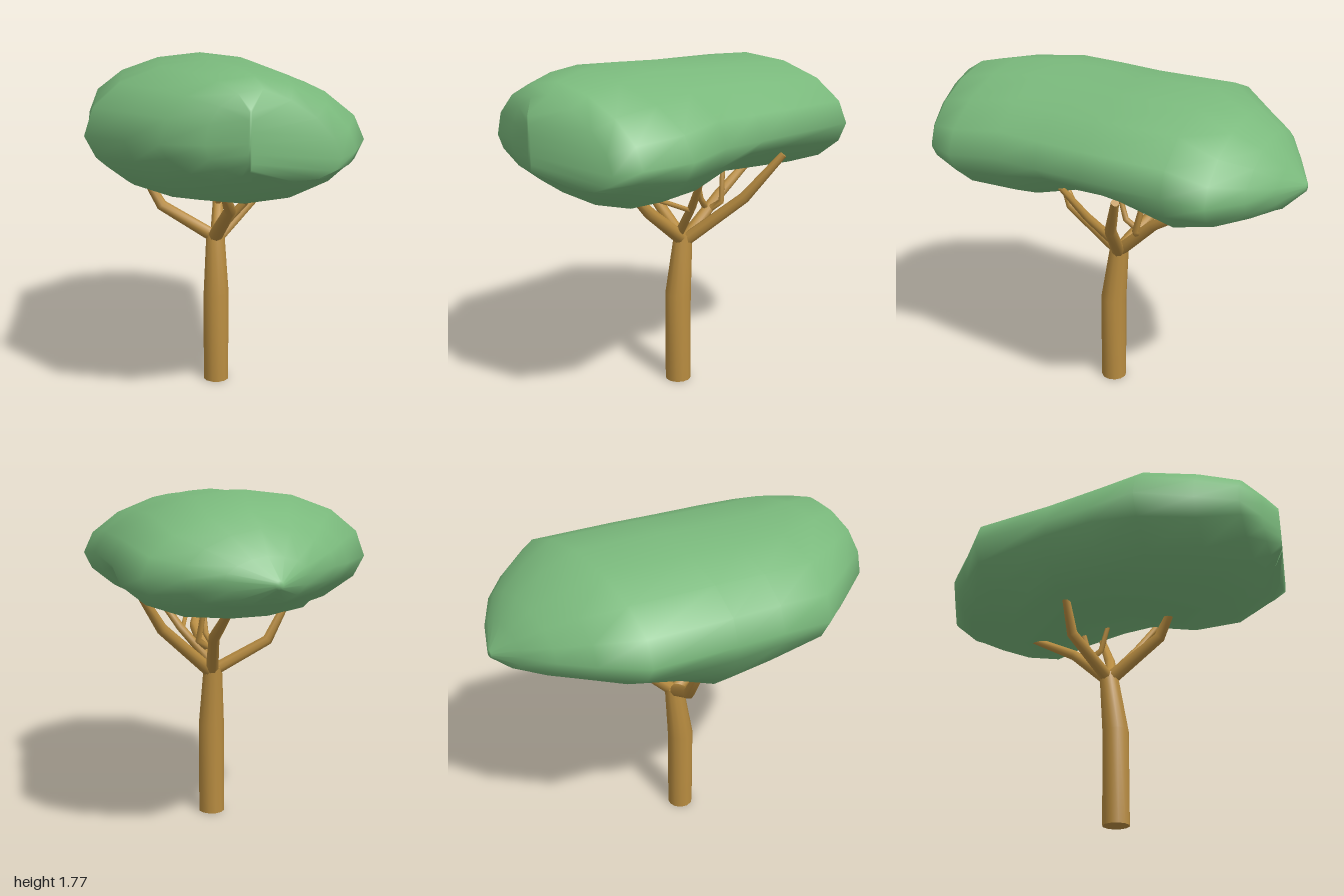
import * as THREE from 'three';

const leaf = new THREE.MeshStandardMaterial({ name: 'leaf green', color: 0x7ab97c });
const bark = new THREE.MeshStandardMaterial({ name: 'bark brown', color: 0xb88c40 });

// Skin a series of equal-sized rings (each counter-clockwise about the travel direction) and close both ends
function loft(rings, sharpCaps) {
  const n = rings[0].length, last = rings.length - 1;
  const points = rings.flat().map(p => p.clone());
  const index = [];
  for (let i = 0; i < last; i++) {
    for (let j = 0; j < n; j++) {
      const a = i * n + j, b = i * n + (j + 1) % n;
      index.push(a, b, a + n, b, b + n, a + n);
    }
  }
  for (const end of [0, last]) {
    let start = end * n;
    if (sharpCaps) {
      start = points.length;
      points.push(...rings[end].map(p => p.clone()));
    }
    const centre = points.length;
    points.push(rings[end].reduce((s, p) => s.add(p), new THREE.Vector3()).divideScalar(n));
    for (let j = 0; j < n; j++) {
      const a = start + j, b = start + (j + 1) % n;
      index.push(centre, ...(end === 0 ? [b, a] : [a, b]));
    }
  }
  const geometry = new THREE.BufferGeometry().setFromPoints(points);
  geometry.setIndex(index);
  geometry.computeVertexNormals();
  return geometry;
}

// Tapered limb through stations [x, y, z, radius]
function limb(name, stations, sides = 8) {
  const pts = stations.map(s => new THREE.Vector3(s[0], s[1], s[2]));
  const forward = new THREE.Vector3(0, 0, 1);
  const rings = pts.map((p, i) => {
    const t = new THREE.Vector3();
    if (i > 0) t.add(p.clone().sub(pts[i - 1]).normalize());
    if (i < pts.length - 1) t.add(pts[i + 1].clone().sub(p).normalize());
    t.normalize();
    const u = forward.clone().cross(t).normalize();
    const v = t.clone().cross(u);
    return Array.from({ length: sides }, (_, j) => {
      const a = j / sides * Math.PI * 2, r = stations[i][3];
      return p.clone().addScaledVector(u, r * Math.cos(a)).addScaledVector(v, r * Math.sin(a));
    });
  });
  const mesh = new THREE.Mesh(loft(rings, true), bark);
  mesh.name = name;
  return mesh;
}

// Long flattened crown made of lopsided cross-sections from back to front
function canopy() {
  // z, left edge x, right edge x, widest y, top y, bottom y, x of top, x of bottom,
  // drop of the +x edge, hollowness of the underside
  const sections = [
    [-1.00, 0.06, 0.10, 1.36, 1.38, 1.34, 0.08, 0.08, 0, 1],
    [-0.92, -0.10, 0.30, 1.40, 1.48, 1.27, 0.10, 0.10, 0.02, 1],
    [-0.83, -0.27, 0.46, 1.42, 1.59, 1.255, 0.10, 0.10, 0.04, 1],
    [-0.70, -0.40, 0.60, 1.42, 1.67, 1.22, 0.10, 0.12, 0.04, 1],
    [-0.53, -0.58, 0.69, 1.44, 1.76, 1.16, 0.06, 0.12, 0.01, 1.1],
    [-0.10, -0.63, 0.64, 1.43, 1.76, 1.10, 0.00, -0.25, 0, 1.5],
    [0.15, -0.66, 0.61, 1.43, 1.765, 1.10, -0.06, -0.22, 0, 1.6],
    [0.40, -0.70, 0.57, 1.43, 1.77, 1.09, -0.10, -0.04, 0, 1.25],
    [0.66, -0.55, 0.58, 1.44, 1.76, 1.13, -0.06, 0.00, 0.03, 1.25],
    [0.86, -0.43, 0.46, 1.45, 1.73, 1.25, -0.02, 0.02, 0.06, 1.2],
    [0.94, -0.25, 0.36, 1.45, 1.68, 1.30, 0.00, 0.02, 0.08, 1],
    [1.00, -0.08, -0.06, 1.46, 1.60, 1.34, -0.07, -0.07, 0, 1],
  ];
  const sides = 16;
  const rings = sections.map(([z, x0, x1, mid, top, bottom, topX, bottomX, drop, hollow]) =>
    Array.from({ length: sides }, (_, j) => {
      const a = j / sides * Math.PI * 2, s = Math.sin(a), c = Math.cos(a), centre = (x0 + x1) / 2;
      const lean = (s > 0 ? topX : bottomX) - centre;
      const y = s > 0
        ? mid + (top - mid) * Math.pow(s, c > 0 ? 1.1 : 1)
        : mid - (mid - bottom) * Math.pow(-s, hollow);
      return new THREE.Vector3(centre + (x1 - x0) / 2 * c + lean * s * s, y - drop * Math.max(c, 0), z);
    }));
  const mesh = new THREE.Mesh(loft(rings, false), leaf);
  mesh.name = 'canopy';
  return mesh;
}

export function createModel() {
  const tree = new THREE.Group();
  tree.name = 'tree';
  tree.add(
    canopy(),
    limb('trunk', [[0.02, 0, 0.04, 0.07], [0.02, 0.5, 0.04, 0.07], [0.025, 0.83, 0, 0.05]], 12),
    // Main branches
    limb('leftBranch', [[0.04, 0.8, 0, 0.035], [0.34, 1.06, -0.11, 0.03], [0.5, 1.29, -0.22, 0.02]]),
    limb('rightBranch', [[0.01, 0.81, 0, 0.035], [-0.25, 0.97, -0.1, 0.03], [-0.36, 1.17, -0.1, 0.02]]),
    limb('frontBranch', [[0.02, 0.8, 0, 0.04], [0.03, 1.01, 0.29, 0.032], [-0.02, 1.12, 0.37, 0.022]]),
    limb('backBranch', [[0.03, 0.8, 0, 0.035], [0.10, 1.02, -0.23, 0.03], [0.13, 1.2, -0.54, 0.02]]),
    limb('frontLeftBranch', [[0.03, 0.85, 0.04, 0.025], [0.17, 1.03, 0.12, 0.022], [0.29, 1.22, 0.2, 0.016]]),
    // Twigs
    limb('backTwig', [[0.11, 0.96, -0.14, 0.018], [0.16, 1.0, -0.16, 0.018], [0.14, 1.18, -0.2, 0.015]], 6),
    limb('innerTwig', [[0.07, 0.96, -0.14, 0.018], [0.09, 1.02, -0.07, 0.016], [0.09, 1.16, -0.03, 0.013]], 6),
    limb('frontTwig', [[0.16, 1.01, 0.12, 0.013], [0.07, 1.1, 0.31, 0.013]], 6),
  );
  return tree;
}
